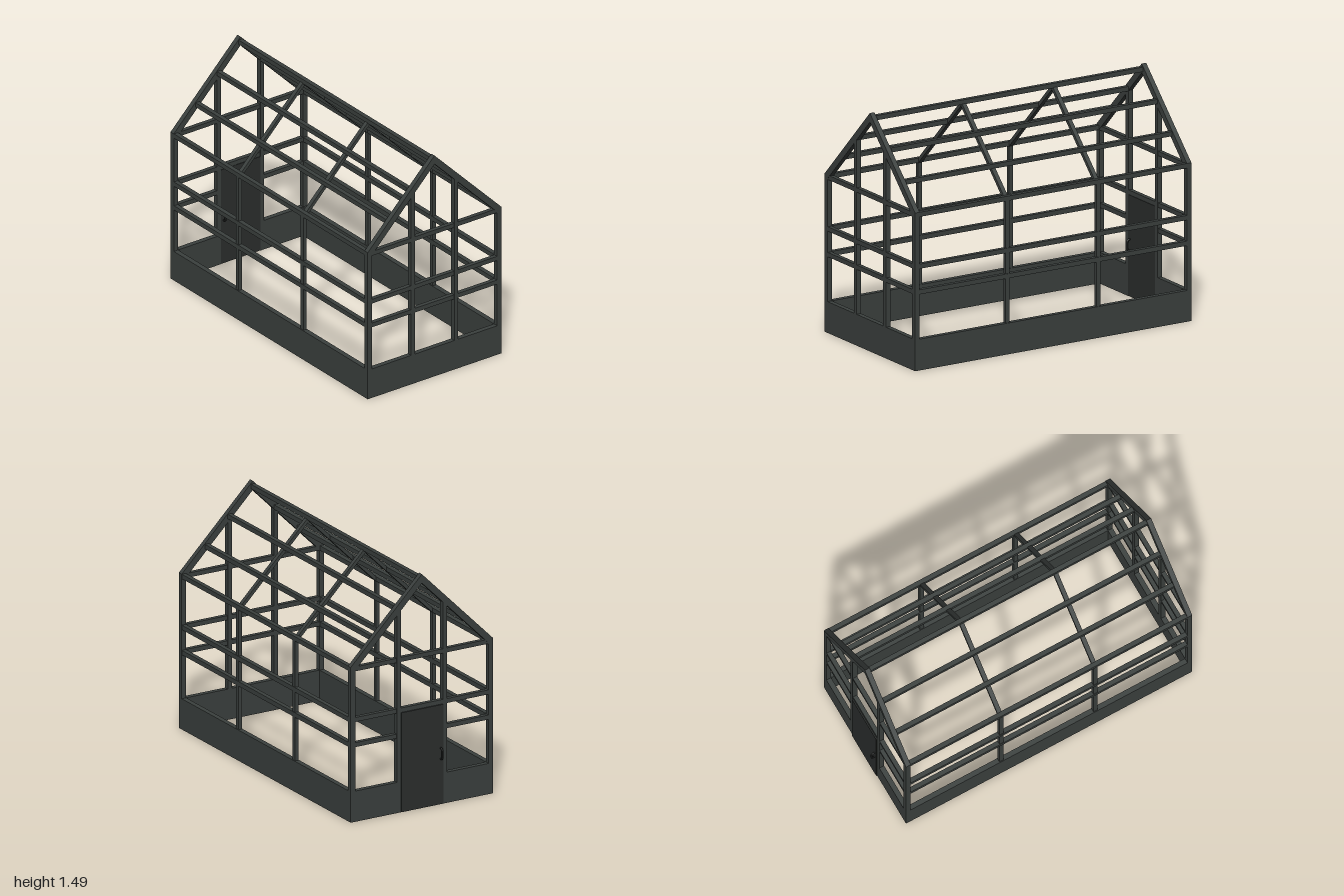
import * as THREE from 'three';

const frameMat = new THREE.MeshStandardMaterial({ color: 0x3b403e });
const doorMat = new THREE.MeshStandardMaterial({ color: 0x2b2e2d });
const handleMat = new THREE.MeshStandardMaterial({ color: 0x1c1e1d });

const X0 = -0.968, X1 = 1.0;          // outer end planes
const Z = 0.5;                        // half width
const T = 0.032;                      // bar thickness
const XM = (X0 + X1) / 2, LEN = X1 - X0;
const BASE = 0.195;

export function createModel() {
  const model = new THREE.Group();
  model.name = 'greenhouse';

  // Box given by its lower and upper corner on each axis
  const bar = (name, x0, x1, y0, y1, z0, z1, mat = frameMat) => {
    const m = new THREE.Mesh(new THREE.BoxGeometry(x1 - x0, y1 - y0, z1 - z0), mat);
    m.name = name;
    m.position.set((x0 + x1) / 2, (y0 + y1) / 2, (z0 + z1) / 2);
    model.add(m);
  };

  // Pair of rafters meeting at the ridge, cut vertically at the eaves
  const rafters = (name, x, width, half, top, bottom) => {
    const s = new THREE.Shape([
      [half, top - half], [0, top], [-half, top - half],
      [-half, bottom - half], [0, bottom], [half, bottom - half],
    ].map(p => new THREE.Vector2(...p)));
    const g = new THREE.ExtrudeGeometry(s, { depth: width, bevelEnabled: false });
    g.translate(0, 0, -width / 2).rotateY(Math.PI / 2);
    const m = new THREE.Mesh(g, frameMat);
    m.name = name;
    m.position.x = x;
    model.add(m);
  };

  // Base walls along the sides, solid at one end and split by the door at the other
  for (const s of [-1, 1]) {
    const zc = s * (Z - T / 2);
    bar('baseSide', X0, X1, 0, BASE, zc - T / 2, zc + T / 2);
    const a = s * 0.15, b = s * (Z - T);
    bar('baseDoorEnd', X0, X0 + T, 0, BASE, Math.min(a, b), Math.max(a, b));
  }
  bar('baseEnd', X1 - T, X1, 0, BASE, -Z + T, Z - T);

  // End frames: corner posts, inner posts, rails and gable rafters
  for (const end of [0, 1]) {
    const x0 = end ? X1 - T : X0, x1 = x0 + T;
    rafters('gableRafters', (x0 + x1) / 2, T, Z, 1.487, 1.43);
    for (const s of [-1, 1]) {
      const c = s * (Z - T / 2), p = s * 0.162;
      bar('cornerPost', x0, x1, BASE, 0.965, c - T / 2, c + T / 2);
      bar('innerPost', x0, x1, end ? BASE : 0, 1.29, p - 0.014, p + 0.014);
    }
    const d = 0.002;                  // rails sit slightly inside the posts
    for (const y of [0.97, 0.648])
      bar('endRail', x0 + d, x1 - d, y - 0.014, y + 0.014, -Z + T, Z - T);
    const y = 0.488;
    if (end) bar('endRail', x0 + d, x1 - d, y - 0.014, y + 0.014, -Z + T, Z - T);
    else for (const s of [-1, 1]) {
      const c = s * 0.322;
      bar('endRail', x0 + d, x1 - d, y - 0.014, y + 0.014, c - 0.146, c + 0.146);
    }
  }

  // Intermediate frames
  for (const x of [-0.309, 0.338]) {
    const w = 0.014;
    rafters('middleRafters', x, 2 * w, 0.49, 1.458, 1.427);
    for (const s of [-1, 1]) {
      const c = s * 0.483;
      bar('middlePost', x - w, x + w, BASE, 0.965, c - 0.012, c + 0.012);
    }
  }

  // Lengthwise side rails, purlins and ridge bar
  const rx0 = X0 + T - 0.004, rx1 = X1 - T + 0.004, h = 0.0145;
  const lengthBar = (name, y, z) => bar(name, rx0, rx1, y - h, y + h, z - h, z + h);
  for (const s of [-1, 1]) {
    for (const y of [0.488, 0.648]) lengthBar('sideRail', y, s * 0.484);
    for (const [y, z] of [[0.972, 0.484], [1.132, 0.323], [1.293, 0.162]])
      lengthBar(z > 0.4 ? 'eaveBar' : 'purlin', y, s * z);
  }
  lengthBar('ridgeBar', 1.454, 0);

  // Door leaf
  bar('door', -0.974, -0.935, 0.002, 0.634, -0.148, 0.148, doorMat);

  // Door handle: a rounded loop running through the leaf
  const hw = 0.039, hh = 0.034, r = 0.016;
  const loop = new THREE.CurvePath();
  const corners = [[hw, hh], [-hw, hh], [-hw, -hh], [hw, -hh]];
  const v = (x, y) => new THREE.Vector3(x, y, 0);
  corners.forEach(([x, y], i) => {
    const toward = ([ax, ay]) => v(x + Math.sign(ax - x) * r, y + Math.sign(ay - y) * r);
    const next = corners[(i + 1) % 4], prev = corners[(i + 3) % 4];
    const out = toward(next);
    loop.add(new THREE.QuadraticBezierCurve3(toward(prev), v(x, y), out));
    const [nx, ny] = next;
    loop.add(new THREE.LineCurve3(out, v(nx + Math.sign(x - nx) * r, ny + Math.sign(y - ny) * r)));
  });
  const handle = new THREE.Mesh(new THREE.TubeGeometry(loop, 64, 0.006, 8, true), handleMat);
  handle.name = 'doorHandle';
  handle.position.set(-0.955, 0.325, 0.128);
  model.add(handle);

  return model;
}
